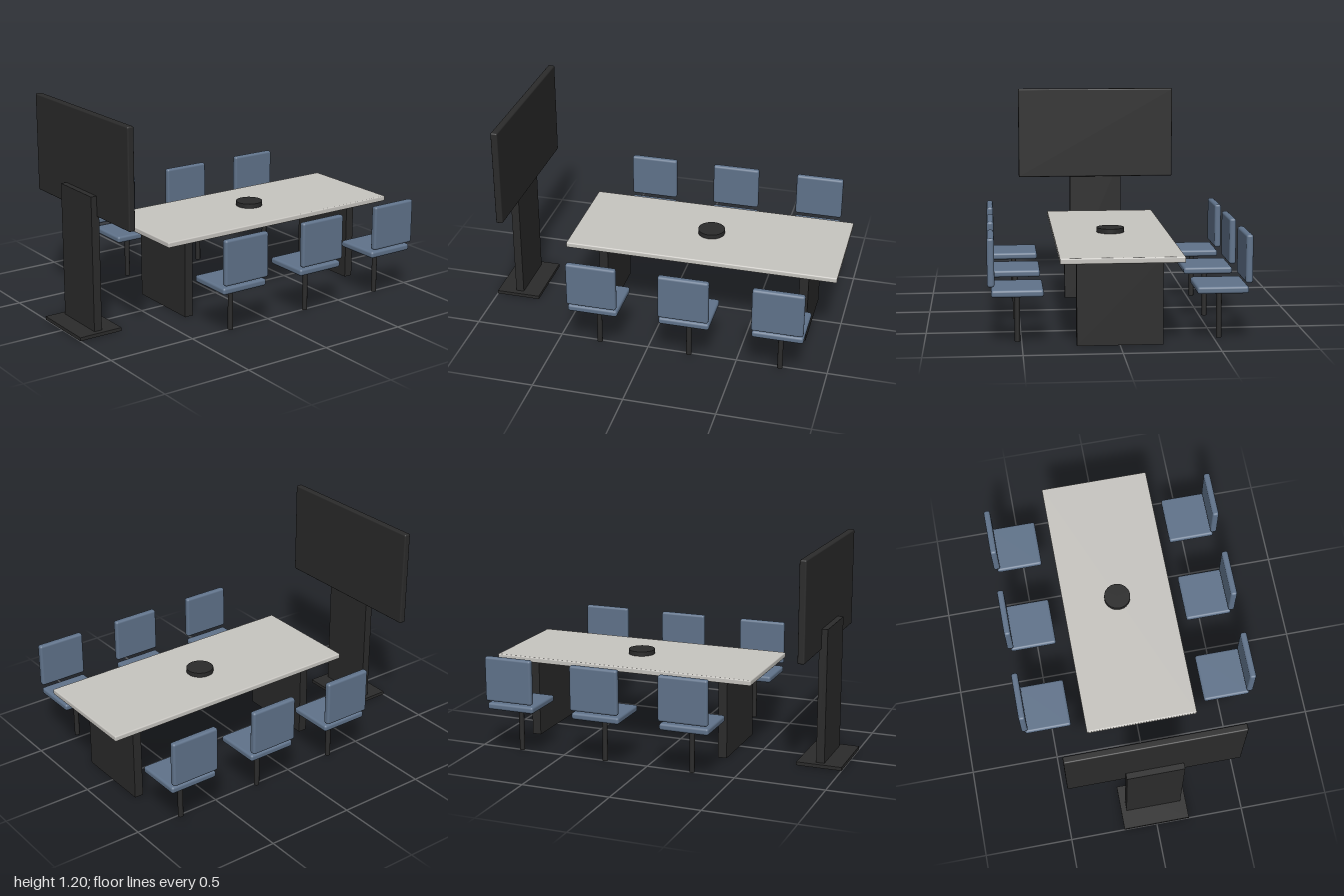
import * as THREE from 'three';
import { RoundedBoxGeometry } from 'three/addons/geometries/RoundedBoxGeometry.js';

const material = (name, color) => {
  const m = new THREE.MeshStandardMaterial({ color });
  m.name = name;
  return m;
};

export function createModel() {
  const charcoal = material('charcoal', 0x2b2b2b);
  const stone = material('pale stone', 0xc8c6c1);
  const fabric = material('slate blue fabric', 0x60738b);

  const add = (parent, name, geometry, mat, x, y, z) => {
    const mesh = new THREE.Mesh(geometry, mat);
    mesh.name = name;
    mesh.position.set(x, y, z);
    parent.add(mesh);
    return mesh;
  };
  const group = (parent, name) => {
    const g = new THREE.Group();
    g.name = name;
    parent.add(g);
    return g;
  };
  const box = (w, h, d) => new THREE.BoxGeometry(w, h, d);
  const soft = (w, h, d, r) => new RoundedBoxGeometry(w, h, d, 2, r);

  const model = new THREE.Group();
  model.name = 'meetingRoom';
  const tableX = 0.238;

  // Table on two slab legs, with a round speaker in the middle
  const table = group(model, 'table');
  add(table, 'tableTop', soft(1.52, 0.031, 0.628, 0.007), stone, tableX, 0.471, 0);
  for (const [name, side] of [['rightTableLeg', -1], ['leftTableLeg', 1]]) {
    add(table, name, box(0.05, 0.457, 0.444), charcoal, tableX + side * 0.571, 0.2285, 0);
  }
  add(table, 'speaker', new THREE.CylinderGeometry(0.075, 0.075, 0.026, 32), charcoal, tableX, 0.499, 0);

  // Screen on a floor stand
  const display = group(model, 'display');
  add(display, 'standBase', box(0.253, 0.019, 0.378), charcoal, -0.8735, 0.0095, 0);
  add(display, 'standColumn', box(0.046, 0.747, 0.316), charcoal, -0.873, 0.3915, 0);
  add(display, 'screen', soft(0.038, 0.544, 0.951, 0.008), charcoal, -0.844, 0.923, 0);

  // Six chairs, three on each long side, facing the table
  const seatGeometry = soft(0.277, 0.038, 0.266, 0.013);
  const backGeometry = soft(0.277, 0.251, 0.037, 0.013);
  const postGeometry = new THREE.CylinderGeometry(0.0145, 0.0145, 0.26, 12);
  for (const [row, turn] of [['front', 0], ['back', Math.PI]]) {
    for (let i = -1; i <= 1; i++) {
      const chair = group(model, row + 'Chair' + (i + 2));
      chair.position.x = tableX + i * 0.507;
      chair.rotation.y = turn;
      add(chair, 'seat', seatGeometry, fabric, 0, 0.287, 0.5225);
      add(chair, 'backrest', backGeometry, fabric, 0, 0.4465, 0.656);
      add(chair, 'post', postGeometry, charcoal, 0, 0.14, 0.5225);
    }
  }

  return model;
}
